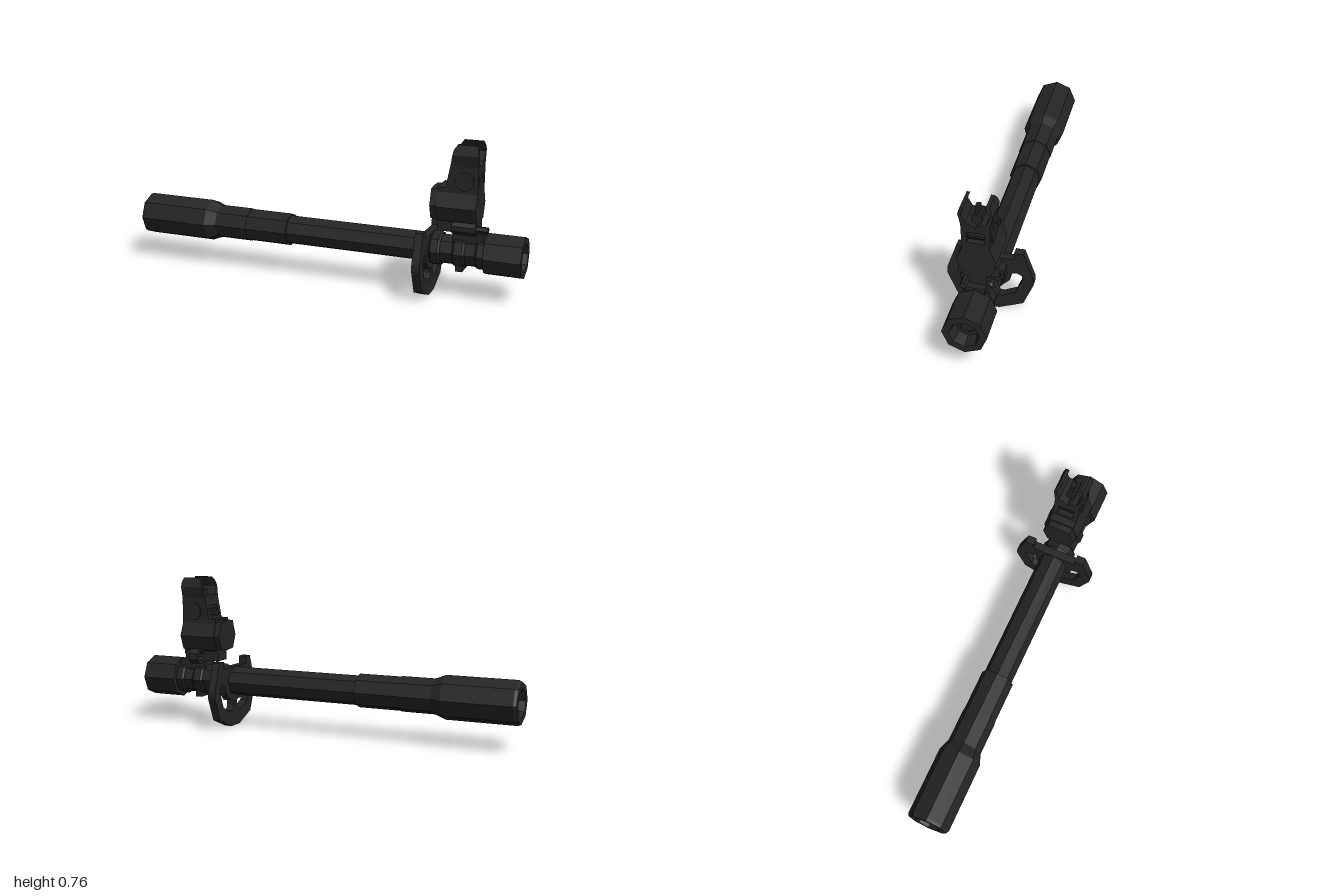
import * as THREE from 'three';

const CY = 0.233; // height of the barrel axis

export function createModel() {
  const root = new THREE.Group();
  const blackSteel = new THREE.MeshStandardMaterial({ color: 0x252525 });
  blackSteel.name = 'blackSteel';

  // Adds a faceted mesh to the model
  const add = (name, geometry) => {
    const g = geometry.index ? geometry.toNonIndexed() : geometry;
    g.computeVertexNormals();
    const mesh = new THREE.Mesh(g, blackSteel);
    mesh.name = name;
    root.add(mesh);
    return mesh;
  };
  const box = (name, x0, x1, y0, y1, w, z = 0) => add(name,
    new THREE.BoxGeometry(x1 - x0, y1 - y0, w * 2).translate((x0 + x1) / 2, (y0 + y1) / 2, z));
  const v2 = (pts) => pts.map(([a, b]) => new THREE.Vector2(a, b));
  // Mirrors a half outline (u, y) into a closed one
  const mirror = (half) => [...half, ...half.filter(p => p[0] !== 0).reverse().map(([u, y]) => [-u, y])];
  const ring = (u, y, r, n = 8) => Array.from({ length: n }, (_, i) => {
    const a = (i + 0.5) / n * Math.PI * 2;
    return [u + r * Math.cos(a), y + r * Math.sin(a)];
  });
  // Extrudes an outline (u = -z, y) along x
  const slab = (x0, x1, outline, holes = []) => {
    const shape = new THREE.Shape(v2(outline));
    holes.forEach(h => shape.holes.push(new THREE.Path(v2(h))));
    return new THREE.ExtrudeGeometry(shape, { depth: x1 - x0, bevelEnabled: false })
      .rotateY(Math.PI / 2).translate(x0, 0, 0);
  };
  // Eight-sided turned part along x, profile as (radius, x)
  const turned = (name, profile) => add(name,
    new THREE.LatheGeometry(v2(profile), 8).rotateZ(-Math.PI / 2).translate(0, CY, 0));
  const rod = (name, x0, x1, r, y, z, n) => add(name,
    new THREE.CylinderGeometry(r, r, x1 - x0, n).rotateZ(Math.PI / 2).translate((x0 + x1) / 2, y, z));

  // Barrel with recessed bores at both ends
  turned('barrel', [
    [0, -0.92], [0.055, -0.92], [0.07, -1], [0.1, -1], [0.108, -0.985], [0.108, -0.635],
    [0.087, -0.58], [0.087, -0.41], [0.084, -0.41], [0.084, -0.19], [0.074, -0.19],
    [0.074, 0.82], [0.103, 0.82], [0.103, 1], [0.07, 1], [0.057, 0.94], [0.04, 0.94], [0.04, 0.93], [0, 0.93],
  ]);
  // Collars and clamp bands
  for (const [name, x0, x1, r] of [
    ['handGuardCollar', 0.55, 0.605, 0.086], ['rearBand', 0.665, 0.725, 0.084], ['frontBand', 0.775, 0.825, 0.084],
  ]) turned(name, [[0, x0], [r - 0.008, x0], [r, x0 + 0.01], [r, x1 - 0.01], [r - 0.008, x1], [0, x1]]);
  box('bandFoot', 0.68, 0.715, 0.143, 0.2, 0.055);

  // Hoop plate with two openings and a centre strut
  const hoop = mirror([
    [0, 0], [0.042, 0], [0.159, 0.05], [0.207, 0.168], [0.207, 0.204],
    [0.159, 0.345], [0.115, 0.345], [0.115, 0.307], [0, 0.307],
  ]);
  const opening = [
    [0.03, 0.08], [0.06, 0.08], [0.122, 0.11], [0.155, 0.192], [0.152, 0.216], [0.13, 0.228], [0.104, 0.222],
    [0.094, 0.18], [0.062, 0.148], [0.055, 0.138], [0.016, 0.132], [0.016, 0.104],
  ];
  add('hoopPlate', slab(0.51, 0.55, hoop, [opening, opening.map(([u, y]) => [-u, y])]));

  // Sight mount on the barrel
  box('mountBase', 0.66, 0.81, 0.27, 0.336, 0.045);
  add('lug', slab(0.67, 0.72, ring(0.07, 0.36, 0.042), [ring(0.07, 0.36, 0.025)]));
  add('boltBoss', slab(0.66, 0.775, ring(-0.047, 0.36, 0.032)));
  rod('bolt', 0.66, 0.832, 0.017, 0.36, 0.048, 6);

  // Hinged lower block of the sight
  add('sightBlock', slab(0.585, 0.778, mirror([
    [0, 0.334], [0.045, 0.334], [0.045, 0.385], [0.066, 0.393], [0.092, 0.463], [0.064, 0.53], [0.064, 0.553], [0, 0.553],
  ])));
  add('sightBlockCap', slab(0.553, 0.587, mirror([
    [0, 0.39], [0.058, 0.395], [0.084, 0.463], [0.058, 0.54], [0, 0.545],
  ])));

  // Tower with flared ears; its rear edge slopes with height
  const tower = slab(0, 1, mirror([
    [0, 0.54], [0.064, 0.54], [0.064, 0.553], [0.066, 0.66], [0.078, 0.715], [0.07, 0.74], [0.062, 0.762],
    [0.046, 0.762], [0.055, 0.74], [0.064, 0.715], [0.046, 0.668], [0.022, 0.665], [0, 0.65],
  ]), [[[-0.04, 0.565], [0.04, 0.565], [0.04, 0.62], [-0.04, 0.62]]]);
  const p = tower.attributes.position;
  for (let i = 0; i < p.count; i++) {
    const y = p.getY(i);
    const slope = THREE.MathUtils.clamp((y - 0.553) / 0.187, 0, 1);
    const trim = THREE.MathUtils.clamp((y - 0.74) / 0.022, 0, 1);
    const back = 0.623 + 0.037 * slope + 0.016 * trim;
    const front = 0.778 - 0.01 * trim;
    p.setX(i, back + (front - back) * p.getX(i));
  }
  add('sightTower', tower);
  box('slotCore', 0.66, 0.745, 0.56, 0.625, 0.042);
  box('slotBar', 0.64, 0.772, 0.59, 0.602, 0.042);

  // Side buttons
  add('sideButtons', new THREE.CylinderGeometry(0.046, 0.046, 0.142, 10)
    .rotateX(Math.PI / 2).translate(0.714, 0.59, 0));

  // Aiming post
  box('postBase', 0.68, 0.755, 0.645, 0.7, 0.022);
  rod('postCollar', 0.69, 0.745, 0.012, 0.7, 0, 6);
  box('aimingPost', 0.705, 0.73, 0.69, 0.736, 0.01);

  return root;
}
